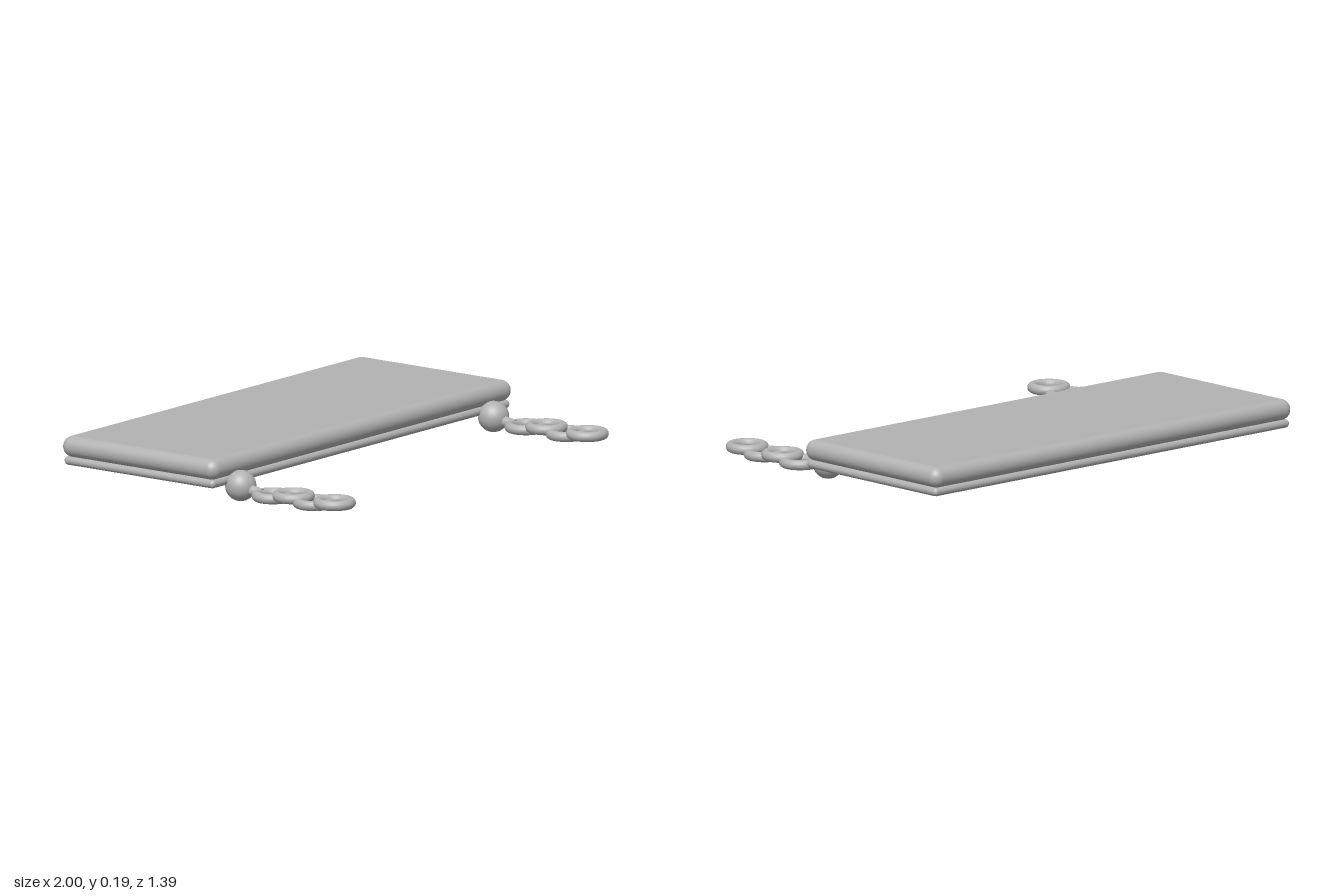
import * as THREE from 'three';
import { RoundedBoxGeometry } from 'three/addons/geometries/RoundedBoxGeometry.js';

export function createModel() {
  const model = new THREE.Group();
  const grey = new THREE.MeshStandardMaterial({ color: 0xb2b2b2 });
  grey.name = 'grey';

  const add = (parent, name, geometry, x, y, z) => {
    const mesh = new THREE.Mesh(geometry, grey);
    mesh.name = name;
    mesh.position.set(x, y, z);
    parent.add(mesh);
    return mesh;
  };

  // Thick board with fully rounded edges
  const boardZ = -0.295;
  add(model, 'board', new RoundedBoxGeometry(2, 0.087, 0.8, 8, 0.043), 0, 0.146, boardZ);

  // Rim of round rods under the board, meeting at the corners
  const rim = new THREE.Group();
  rim.name = 'rim';
  model.add(rim);
  const rodR = 0.018, halfX = 0.972, halfZ = 0.37, rodY = 0.088;
  for (const s of [-1, 1]) {
    const long = add(rim, 'longRod', new THREE.CapsuleGeometry(rodR, 2 * halfX, 8, 20), 0, rodY, boardZ + s * halfZ);
    long.rotation.z = Math.PI / 2;
    const short = add(rim, 'shortRod', new THREE.CapsuleGeometry(rodR, 2 * halfZ, 8, 20), s * halfX, rodY, boardZ);
    short.rotation.x = Math.PI / 2;
  }

  // Ball joint, short stub and four flat overlapping links on each side
  for (const side of [-1, 1]) {
    const chain = new THREE.Group();
    chain.name = side > 0 ? 'leftChain' : 'rightChain';
    chain.position.x = side * 0.84;
    model.add(chain);

    add(chain, 'ball', new THREE.SphereGeometry(0.064, 32, 24), 0, 0.065, 0.119);
    const stub = add(chain, 'stub', new THREE.CylinderGeometry(0.02, 0.024, 0.08, 20), 0, 0.05, 0.19);
    stub.rotation.x = Math.PI / 2 + 0.12;

    for (let i = 0; i < 4; i++) {
      const link = add(chain, 'link', new THREE.TorusGeometry(0.067, 0.021, 16, 40), 0, i % 2 ? 0.058 : 0.044, 0.286 + i * 0.1055);
      link.rotation.x = Math.PI / 2;
    }
  }

  return model;
}
